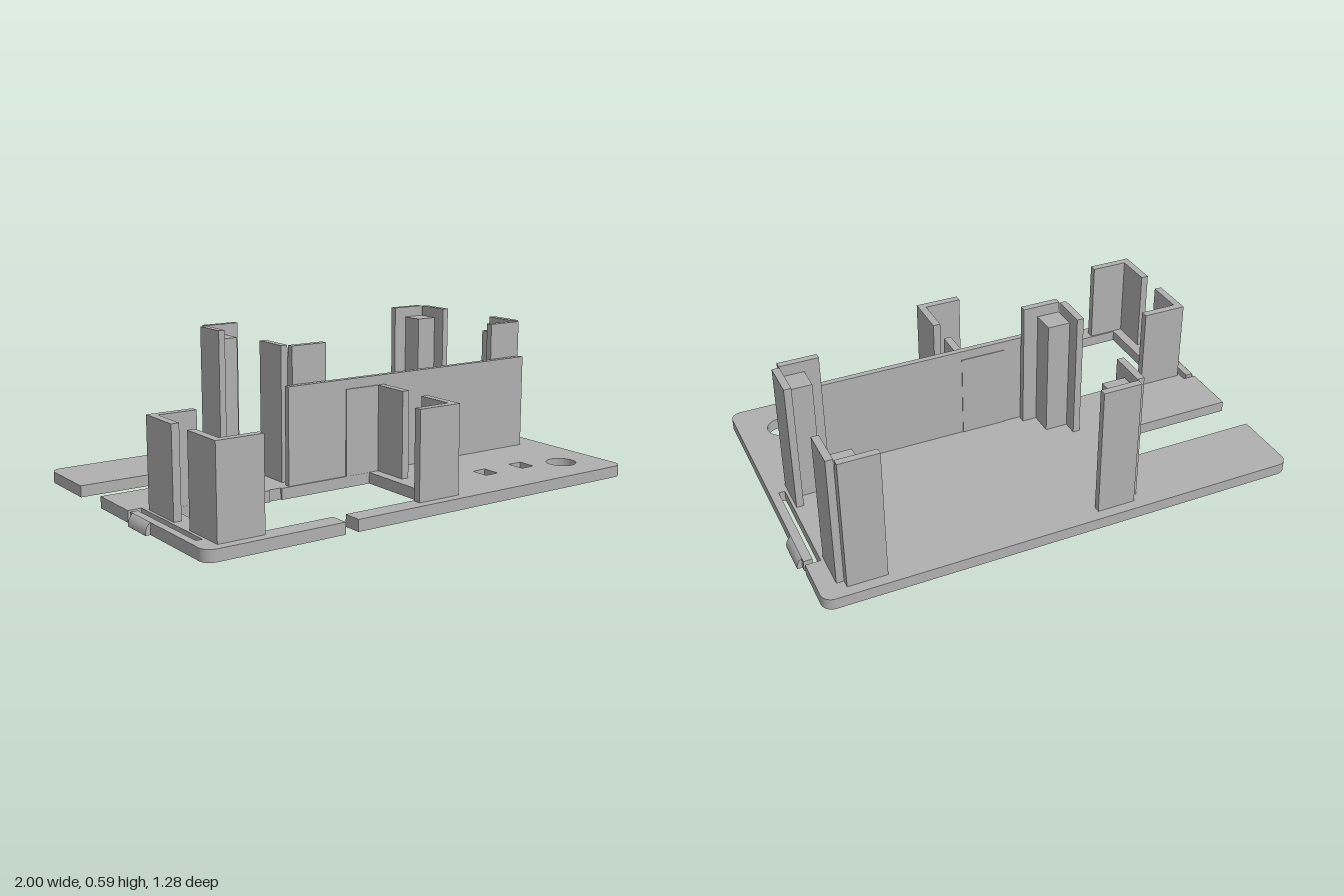
import * as THREE from 'three';

const T = 0.046; // plate thickness

export function createModel() {
  const model = new THREE.Group();
  model.name = 'enclosureBase';
  const grey = new THREE.MeshStandardMaterial({ color: 0xb0b0b0 });
  grey.name = 'grey plastic';

  const add = (name, geometry, parent = model) => {
    const mesh = new THREE.Mesh(geometry, grey);
    mesh.name = name;
    parent.add(mesh);
    return mesh;
  };

  // Box standing on the plate, given by its x and z limits and its top height
  const block = (name, xa, xb, za, zb, top, parent) => {
    const g = new THREE.BoxGeometry(Math.abs(xb - xa), top - T, Math.abs(zb - za));
    add(name, g, parent).position.set((xa + xb) / 2, (top + T) / 2, (za + zb) / 2);
  };

  // Base plate outline in x and z, with cable slot, open tray window and clip slits
  const X = 0.98, Z = 0.638, R = 0.045;
  const s = new THREE.Shape();
  const lines = (pts) => pts.forEach(([x, z]) => s.lineTo(x, z));
  s.moveTo(-X + R, -Z);
  s.lineTo(X - R, -Z);
  s.absarc(X - R, -Z + R, R, -Math.PI / 2, 0, false);
  lines([[X, -0.42], [0.92, -0.42], [0.92, 0.03], [0.945, 0.03], [0.945, -0.4], [X, -0.4]]);
  s.lineTo(X, Z - R);
  s.absarc(X - R, Z - R, R, 0, Math.PI / 2, false);
  lines([
    [-0.365, Z], [-0.365, 0.56], [0.052, 0.56], [0.052, 0.138], [-0.365, 0.138], [-0.365, 0.13],
    [-0.42, 0.13], [-0.42, 0.138], [-0.84, 0.138], [-0.84, 0.56], [-0.42, 0.56], [-0.42, Z],
  ]);
  s.lineTo(-X + R, Z);
  s.absarc(-X + R, Z - R, R, Math.PI / 2, Math.PI, false);
  lines([[-X, 0.09], [-0.95, 0.09], [-0.95, 0.52], [-0.925, 0.52], [-0.925, 0.07], [-X, 0.07]]);
  lines([[-X, -0.16], [-0.44, -0.16], [-0.44, -0.34], [-X, -0.34]]);
  s.lineTo(-X, -Z + R);
  s.absarc(-X + R, -Z + R, R, Math.PI, Math.PI * 1.5, false);

  // Two square holes and a round one
  for (const x of [0.437, 0.632]) {
    const a = 0.031, z = 0.403, b = 0.039;
    s.holes.push(new THREE.Path([[x - a, z - b], [x - a, z + b], [x + a, z + b], [x + a, z - b]]
      .map((p) => new THREE.Vector2(...p))));
  }
  s.holes.push(new THREE.Path().absarc(0.803, 0.46, 0.061, 0, Math.PI * 2, true));

  const plate = new THREE.ExtrudeGeometry(s, { depth: T, bevelEnabled: false, curveSegments: 16 });
  plate.rotateX(Math.PI / 2).translate(0, T, 0);
  add('basePlate', plate);

  // Rounded snap catches on the two spring clips
  const catchShape = new THREE.Shape();
  catchShape.moveTo(0, 0);
  catchShape.lineTo(0.02, 0);
  catchShape.lineTo(0.02, 0.008);
  catchShape.quadraticCurveTo(0.018, 0.032, 0, T);
  const catchGeo = new THREE.ExtrudeGeometry(catchShape, { depth: 0.137, bevelEnabled: false, curveSegments: 8 });
  add('rightSnapCatch', catchGeo.clone().rotateY(Math.PI)).position.set(-X, 0, 0.247);
  add('leftSnapCatch', catchGeo).position.set(X, 0, -0.378);

  // Divider wall
  block('dividerWall', -0.328, 0.879, 0.108, 0.132, 0.437);

  // Tall board holders: two separate guide plates and a lower support post per corner
  const tall = new THREE.Group();
  tall.name = 'tallHolders';
  tall.position.set(0.295, 0, -0.247);
  model.add(tall);

  // Low holders: L-shaped corners around the window
  const low = new THREE.Group();
  low.name = 'lowHolders';
  low.position.set(-0.393, 0, 0.352);
  model.add(low);

  for (const i of [-1, 1]) {
    for (const j of [-1, 1]) {
      block('tallGuideAcross', i * 0.428, i * 0.584, j * 0.32, j * 0.348, 0.586, tall);
      block('tallGuideAlong', i * 0.584, i * 0.613, j * 0.16, j * 0.314, 0.586, tall);
      block('supportPost', i * 0.489, i * 0.584, j * 0.222, j * 0.32, 0.54, tall);

      block('lowCornerAcross', i * 0.333, i * 0.52, j * 0.215, j * 0.247, 0.398, low);
      block('lowCornerAlong', i * 0.489, i * 0.52, j * 0.057, j * 0.215, 0.398, low);
    }
  }
  return model;
}
